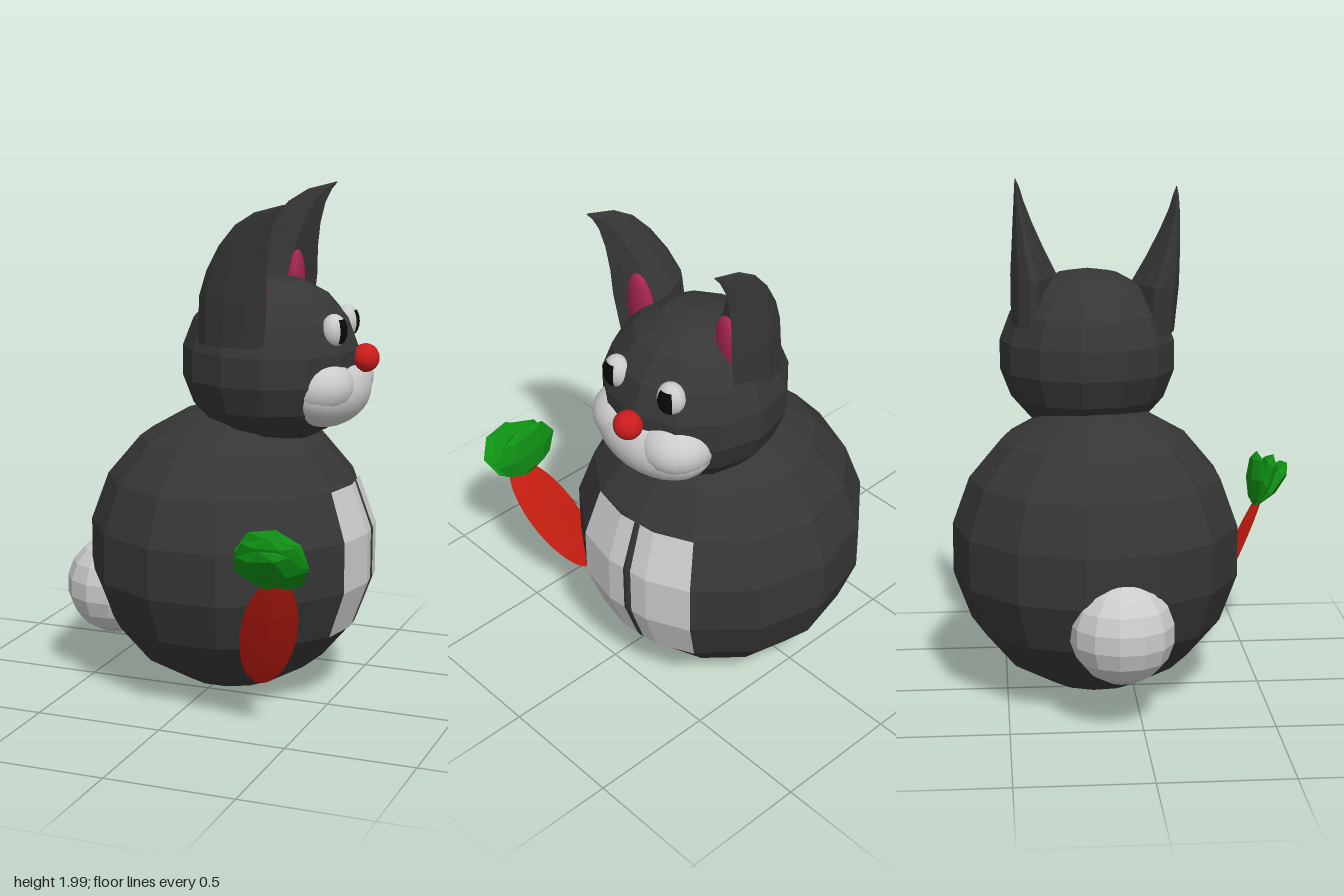
import * as THREE from 'three';

const D = THREE.MathUtils.degToRad;
const mat = (color, flatShading = true, side = THREE.FrontSide) =>
  new THREE.MeshStandardMaterial({ color, flatShading, side });

const fur = mat(0x363636);
const furThin = mat(0x363636, true, THREE.DoubleSide);
const pale = mat(0xcccccc);
const paleSmooth = mat(0xcccccc, false);
const black = mat(0x080808, false);
const red = mat(0xcc1c1c, false);
const orange = mat(0xc41c10);
const green = mat(0x0f9014);
const pink = mat(0xa8264f, false);

function add(parent, name, geometry, material, pos = [0, 0, 0], scale = [1, 1, 1]) {
  const m = new THREE.Mesh(geometry, material);
  m.name = name;
  m.position.set(...pos);
  m.scale.set(...scale);
  parent.add(m);
  return m;
}

// Low-poly ball shared by body, head and tail
const ball = () => new THREE.SphereGeometry(1, 13, 9, -Math.PI / 2);
const smoothBall = () => new THREE.SphereGeometry(1, 24, 16);

// Curled ear shell, open to the front; rows run from base to tip
function earGeometry() {
  // y, back x, front x, inner z, outer z
  const rows = [
    [1.42, 0.0, 0.28, 0.0, 0.17], [1.6, 0.01, 0.3, 0.01, 0.19],
    [1.7, 0.05, 0.3, 0.07, 0.195], [1.8, 0.11, 0.31, 0.125, 0.2],
    [1.88, 0.18, 0.33, 0.165, 0.203], [1.93, 0.26, 0.355, 0.185, 0.205],
    [1.96, 0.37, 0.38, 0.203, 0.205],
  ];
  // Cross-section as fractions: back to front, inner to outer
  const section = [[0.75, 0], [0.35, 0.2], [0.08, 0.42], [0, 0.6], [0.15, 0.85], [0.45, 1], [0.75, 1], [1, 0.88]];
  const pos = [], index = [], n = section.length;
  for (const [y, back, front, inner, outer] of rows)
    for (const [u, v] of section)
      pos.push(back + (front - back) * u, y, inner + (outer - inner) * v);
  for (let i = 0; i < rows.length - 1; i++)
    for (let j = 0; j < n - 1; j++) {
      const a = i * n + j, b = a + 1, c = a + n, d = c + 1;
      index.push(a, b, c, b, d, c);
    }
  const g = new THREE.BufferGeometry();
  g.setAttribute('position', new THREE.Float32BufferAttribute(pos, 3));
  g.setIndex(index);
  g.computeVertexNormals();
  return g;
}

function earParts(parent, side, place) {
  add(parent, side + 'Ear', place(earGeometry()), furThin);
  const lining = new THREE.SphereGeometry(1, 16, 12);
  lining.scale(0.035, 0.15, 0.066).rotateZ(-0.1).translate(0.23, 1.55, 0.093);
  const m = add(parent, side + 'EarLining', place(lining), pink);
  m.material = mat(0xa8264f, false, THREE.DoubleSide);
}

export function createModel() {
  const g = new THREE.Group();
  g.name = 'bunnyWithCarrot';

  // Body with a flush pale belly panel two facets wide
  const bodyPos = [0.05, 0.58, -0.144];
  add(g, 'body', ball(), fur, bodyPos, [0.57, 0.57, 0.57]);
  const step = 360 / 13;
  const belly = new THREE.SphereGeometry(0.573, 2, 3, D(-90 - 4 * step), D(2 * step), D(60), D(60));
  add(g, 'belly', belly, pale, bodyPos);
  add(g, 'tail', ball(), pale, [-0.43, 0.38, -0.075], [0.2, 0.2, 0.2]);

  // Head
  add(g, 'head', ball(), fur, [0.2, 1.325, -0.165], [0.35, 0.335, 0.35]);

  // Muzzle: wide lower pad and two cheeks
  const muzzle = new THREE.Group();
  muzzle.name = 'muzzle';
  g.add(muzzle);
  add(muzzle, 'chin', smoothBall(), paleSmooth, [0.42, 1.225, -0.18], [0.165, 0.145, 0.26]);
  for (const s of [-1, 1])
    add(muzzle, 'cheek', smoothBall(), paleSmooth, [0.42, 1.255, -0.18 + s * 0.125], [0.145, 0.115, 0.142]);
  add(g, 'nose', smoothBall(), red, [0.568, 1.35, -0.205], [0.053, 0.055, 0.055]);

  // Eyes with squarish pupils on the front
  for (const [name, x, z, turn] of [['leftEye', 0.485, -0.06, -0.12], ['rightEye', 0.455, -0.313, 0.2]]) {
    const eye = new THREE.Group();
    eye.name = name;
    eye.position.set(x, 1.47, z);
    eye.rotation.y = turn;
    g.add(eye);
    add(eye, 'eyeball', smoothBall(), paleSmooth, [0, 0, 0], [0.048, 0.064, 0.055]);
    const pupil = new THREE.SphereGeometry(1, 6, 6, Math.PI - 0.6, 1.2, Math.PI / 2 - 0.75, 1.5);
    add(eye, 'pupil', pupil, black, [0, 0, 0], [0.051, 0.067, 0.057]);
  }

  // Ears: the right one is mirrored, a little higher and leaning inwards
  earParts(g, 'left', (geo) => geo);
  earParts(g, 'right', (geo) => {
    const p = geo.attributes.position;
    for (let i = 0; i < p.count; i++) {
      const y = p.getY(i);
      p.setXYZ(i, p.getX(i) - 0.01, y + 0.035, -0.285 - p.getZ(i) + 0.11 * (y - 1.5));
    }
    geo.computeVertexNormals();
    return geo;
  });

  // Carrot: thin lens-shaped root and a fan of three leaves
  const carrot = new THREE.Group();
  carrot.name = 'carrot';
  g.add(carrot);
  const tip = new THREE.Vector3(0.325, 0.185, 0.325), top = new THREE.Vector3(0.51, 0.67, 0.585);
  const axis = top.clone().sub(tip);
  const half = axis.length() / 2;
  const yDir = axis.normalize();
  const zDir = new THREE.Vector3(1, 0, 0).cross(yDir).normalize();
  const xDir = yDir.clone().cross(zDir);
  const root = add(carrot, 'root', new THREE.SphereGeometry(1, 4, 24), orange,
    tip.clone().lerp(top, 0.5).toArray(), [0.105, half, 0.022]);
  root.quaternion.setFromRotationMatrix(new THREE.Matrix4().makeBasis(xDir, yDir, zDir));

  [0.05, 0.38, 0.7].forEach((tilt, i) => {
    const leaf = add(carrot, 'leaf', new THREE.SphereGeometry(1, 6, 4), green,
      [0.47 + (i - 1) * 0.008, 0.635 + 0.1 * Math.cos(tilt), 0.545 + 0.1 * Math.sin(tilt)],
      [0.145, 0.115, 0.034]);
    leaf.rotation.set(tilt, 0, (i - 1) * 0.15);
  });

  return g;
}
